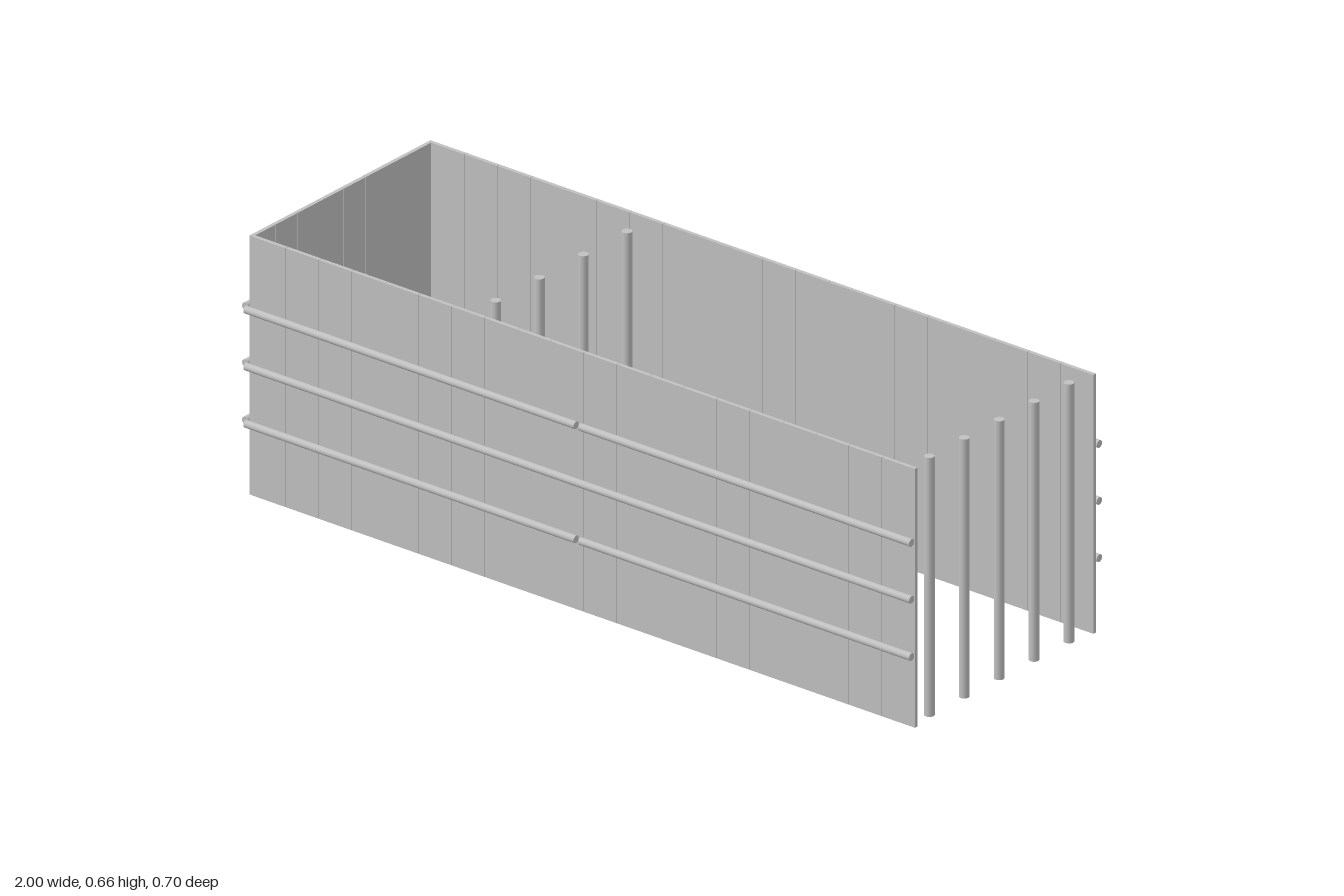
import * as THREE from 'three';

export function createModel() {
  const model = new THREE.Group();
  const steel = new THREE.MeshStandardMaterial({ color: 0xc0c0c0 });
  steel.name = 'steelGrey';

  const H = 0.66, T = 0.01, GAP = 0.0008;
  const X0 = -0.9785, X1 = 1, Z = 0.33;   // outer faces of the walls
  const RAIL_R = 0.0095, POLE_R = 0.0125;

  function add(parent, geometry, name, x, y, z) {
    const mesh = new THREE.Mesh(geometry, steel);
    mesh.name = name;
    mesh.position.set(x, y, z);
    parent.add(mesh);
    return mesh;
  }

  function group(name) {
    const g = new THREE.Group();
    g.name = name;
    model.add(g);
    return g;
  }

  // Horizontal round rail running along x or z
  function rail(parent, axis, from, to, x, y, z) {
    const mesh = add(parent, new THREE.CylinderGeometry(RAIL_R, RAIL_R, to - from, 20), 'rail', x, y, z);
    if (axis === 'x') {
      mesh.rotation.z = Math.PI / 2;
      mesh.position.x = (from + to) / 2;
    } else {
      mesh.rotation.x = Math.PI / 2;
      mesh.position.z = (from + to) / 2;
    }
  }

  const railHeights = [0.185, 0.331, 0.476];

  // Long walls: narrow upright sheets with hairline joints, rails outside
  for (const side of [1, -1]) {
    const wall = group(side > 0 ? 'frontWall' : 'backWall');
    const start = X0 + T, n = 20, w = (X1 - start) / n;
    for (let i = 0; i < n; i++) {
      add(wall, new THREE.BoxGeometry(w - GAP, H, T), 'wallSheet',
        start + (i + 0.5) * w, H / 2, side * (Z - T / 2));
    }
    railHeights.forEach((y, i) => {
      const z = side * 0.342;
      if (i === 1) {
        rail(wall, 'x', X0, X1, 0, y, z);
      } else {
        // Upper and lower rails are split in the middle
        rail(wall, 'x', X0, 0.003, 0, y, z);
        rail(wall, 'x', 0.016, X1, 0, y, z);
      }
    });
  }

  // Closed end wall
  const endWall = group('endWall');
  const n = 8, w = 2 * Z / n;
  for (let i = 0; i < n; i++) {
    add(endWall, new THREE.BoxGeometry(T, H, w - GAP), 'wallSheet',
      X0 + T / 2, H / 2, -Z + (i + 0.5) * w);
  }
  for (const y of railHeights) rail(endWall, 'z', -Z, Z, -0.9905, y, 0);

  // Rows of upright poles: open end and interior
  const poleGeometry = new THREE.CylinderGeometry(POLE_R, POLE_R, H, 24);
  const entrance = group('entrancePoles');
  for (let i = -2; i <= 2; i++) add(entrance, poleGeometry, 'pole', 0.981, H / 2, i * 0.127);
  const inner = group('innerPoles');
  for (const z of [-0.239, -0.08, 0.08, 0.239]) add(inner, poleGeometry, 'pole', -0.32, H / 2, z);

  return model;
}
